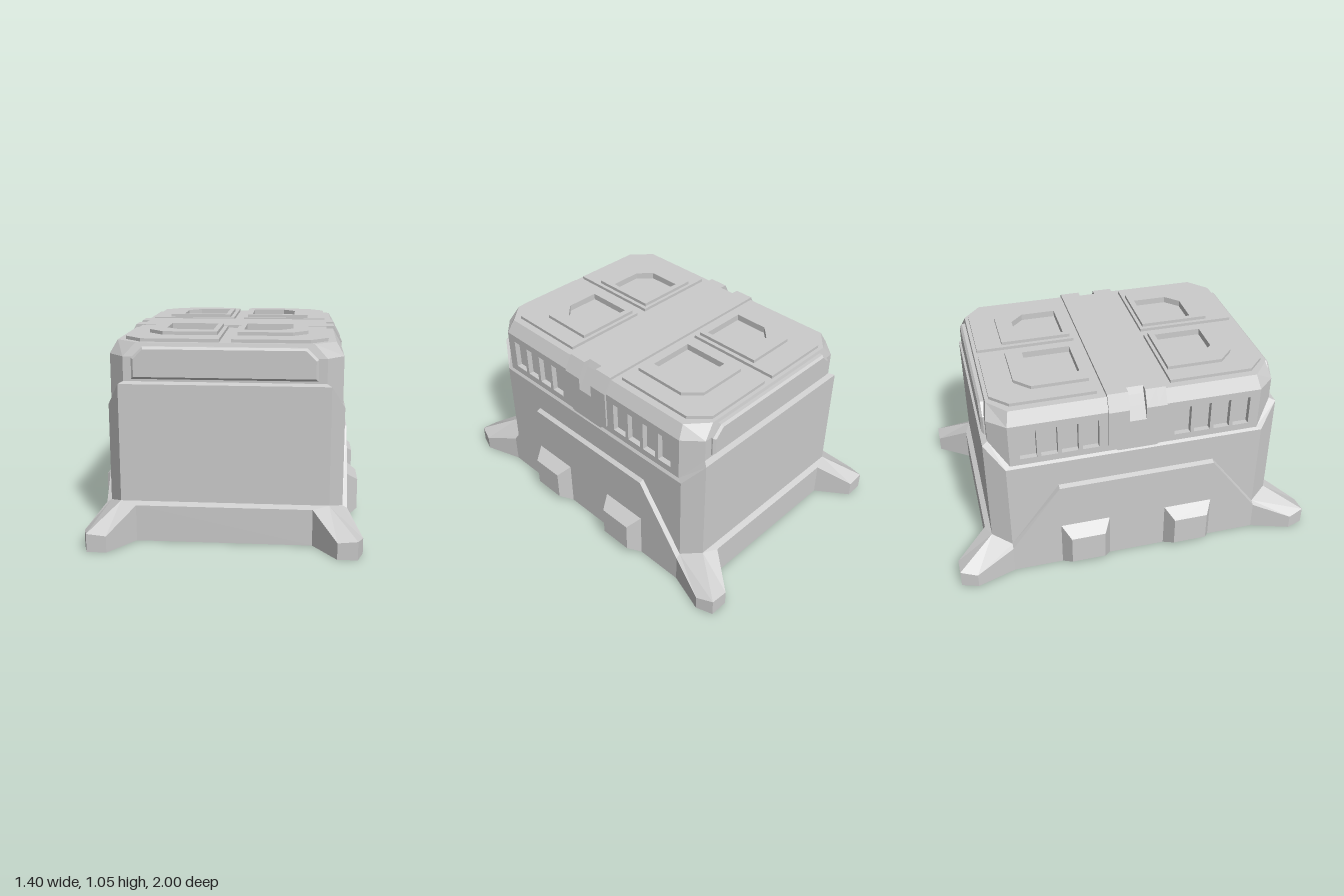
import * as THREE from 'three';

const material = new THREE.MeshStandardMaterial({ color: 0xcccccc, flatShading: true, side: THREE.DoubleSide });

function part(name, geometry, parent) {
  const mesh = new THREE.Mesh(geometry, material);
  mesh.name = name;
  parent.add(mesh);
  return mesh;
}

// Skin between successive rings of [x, y, z]; skip(level, segment) leaves openings
function loft(rings, closed = true, skip = () => false) {
  const pos = [];
  const n = rings[0].length;
  for (let l = 0; l < rings.length - 1; l++) {
    for (let i = 0; i < (closed ? n : n - 1); i++) {
      if (skip(l, i)) continue;
      const j = (i + 1) % n;
      const [a, b, c, d] = [rings[l][i], rings[l][j], rings[l + 1][j], rings[l + 1][i]];
      pos.push(...a, ...d, ...c, ...a, ...c, ...b);
    }
  }
  const g = new THREE.BufferGeometry();
  g.setAttribute('position', new THREE.Float32BufferAttribute(pos, 3));
  g.computeVertexNormals();
  return g;
}

// Repeat one quadrant's points (side to front) around all four quadrants
function mirror4(q) {
  const flip = (sx, sz) => q.map(([x, y, z]) => [x * sx, y, z * sz]);
  return [...flip(1, 1), ...flip(-1, 1).reverse(), ...flip(-1, -1), ...flip(1, -1).reverse()];
}

const shape = (pts) => new THREE.Shape(pts.map(([x, y]) => new THREE.Vector2(x, y)));

// Flat wall facing +x, drawn with [z, y] points
function sideWall(x, pts, holes = []) {
  const toShape = (p) => shape(p.map(([z, y]) => [-z, y]));
  const s = toShape(pts);
  s.holes = holes.map(toShape);
  return new THREE.ShapeGeometry(s).rotateY(Math.PI / 2).translate(x, 0, 0);
}

const rect = (z0, z1, y0, y1) => [[z0, y0], [z1, y0], [z1, y1], [z0, y1]];

// Sunken or raised block on a side wall, closed at its far end
function sideBlock(name, x0, r0, x1, r1, parent) {
  const at = (x, r) => r.map(([z, y]) => [x, y, z]);
  const group = new THREE.Group();
  group.name = name;
  part(name + 'Edges', loft([at(x0, r0), at(x1, r1)]), group);
  part(name + 'Face', sideWall(x1, r1), group);
  parent.add(group);
}

// Rectangle in x and z with the outer corner cut off
const cutRect = (x0, x1, z0, z1, c) =>
  [[x0, -z0], [x1, -z0], [x1, -z1 + c], [x1 - c, -z1], [x0, -z1]];

function topPlate(name, outline, hole, y0, y1, parent) {
  const s = shape(outline);
  s.holes.push(shape(hole));
  const g = new THREE.ExtrudeGeometry(s, { depth: y1 - y0, bevelEnabled: false });
  part(name, g.rotateX(-Math.PI / 2).translate(0, y0, 0), parent);
}

function quarter(sx, sz) {
  const g = new THREE.Group();
  g.name = 'quarter';

  // Lower side wall with an opening behind the bracket
  part('skirtSide', sideWall(0.63, [
    [0, 0], [0.158, 0], [0.158, 0.265], [0.43, 0.265], [0.43, 0],
    [0.7, 0], [0.7, 0.16], [0.43, 0.53], [0, 0.53],
  ]), g);
  sideBlock('bracket', 0.63, rect(0.158, 0.43, 0, 0.265), 0.7, rect(0.2, 0.387, 0.05, 0.217), g);

  // Lid side with four vent slots
  const slots = [0, 1, 2, 3].map((i) => rect(0.205 + i * 0.109, 0.293 + i * 0.109, 0.742, 0.91));
  part('lidSide', sideWall(0.595, rect(0.155, 0.675, 0.705, 0.95), slots), g);
  slots.forEach((r) => sideBlock('ventSlot', 0.595, r, 0.565, r, g));

  // Stepped plates on top with a sunken centre
  const well = cutRect(0.08, 0.335, 0.245, 0.505, 0.07);
  topPlate('largePlate', cutRect(0.03, 0.515, 0.195, 0.735, 0.09), well, 1.02, 1.037, g);
  topPlate('smallPlate', cutRect(0.052, 0.415, 0.213, 0.595, 0.08), well, 1.037, 1.055, g);

  g.scale.set(sx, 1, sz);
  return g;
}

export function createModel() {
  const model = new THREE.Group();
  model.name = 'crate';

  // Shell from the flared feet up to the lid top, open underneath
  const foot = [[0.63, 0.53, 0.43], [0.63, 0.16, 0.7], [0.7, 0.08, 0.91],
    [0.67, 0.095, 1], [0.57, 0.085, 1], [0.45, 0.19, 0.83]];
  const octagon = (mid, side, front) => [mid, side, side, front, front, front];
  const rings = [
    foot.map(([x, , z]) => [x, 0, z]),
    foot,
    octagon([0.605, 0.54, 0.43], [0.605, 0.175, 0.7], [0.533, 0.205, 0.8]),
    octagon([0.605, 0.69, 0.43], [0.605, 0.69, 0.7], [0.533, 0.815, 0.8]),
    octagon([0.595, 0.705, 0.155], [0.595, 0.705, 0.675], [0.51, 0.825, 0.77]),
    octagon([0.595, 0.95, 0.155], [0.595, 0.95, 0.675], [0.51, 0.95, 0.77]),
    octagon([0.555, 1.02, 0.155], [0.555, 1.02, 0.66], [0.445, 1.02, 0.755]),
  ].map(mirror4);
  const openings = (level, seg) => {
    const s = seg % 12;
    if (level === 0 || level === 4) return s === 0 || s >= 10;
    return level === 5 && s === 11;
  };
  part('shell', loft(rings, true, openings), model);

  // Lid top, notched where the strap folds over
  const lidTop = mirror4([[0.52, 0, 0.155], [0.555, 0, 0.155], [0.555, 0, 0.66], [0.445, 0, 0.755]]);
  part('lidTop', new THREE.ShapeGeometry(shape(lidTop.map(([x, , z]) => [x, -z])))
    .rotateX(-Math.PI / 2).translate(0, 1.02, 0), model);

  // Strap across the lid with a wedge groove on each shoulder
  const section = (z, pts) => [
    ...pts.map(([x, y]) => [x, y, z]),
    ...pts.map(([x, y]) => [-x, y, z]).reverse(),
  ];
  const lid = [[0.595, 0.705], [0.595, 0.74], [0.595, 0.74], [0.595, 0.88], [0.595, 0.95], [0.555, 1.02], [0.52, 1.02]];
  const strap = (b) => [[0.595, 0.705], [0.595, b], [0.605, b], [0.605, 0.88], [0.605, 0.95], [0.56, 1.035], [0.52, 1.035]];
  const groove = strap(0.705);
  groove[4] = [0.567, 0.95];
  groove[5] = [0.54, 1.0];
  const half = [[0.155, lid], [0.155, strap(0.74)], [0.105, strap(0.705)], [0.045, strap(0.705)], [0.045, groove]];
  const stations = [...half, ...half.map(([z, p]) => [-z, p]).reverse()];
  part('strap', loft(stations.map(([z, p]) => section(z, p)), false), model);

  // Raised plates on the front and back of the lid
  const plate = shape([[-0.455, 0.85], [0.455, 0.85], [0.455, 0.94], [0.405, 0.99], [-0.405, 0.99], [-0.455, 0.94]]);
  for (const turn of [0, Math.PI]) {
    const g = new THREE.ExtrudeGeometry(plate, { depth: 0.022, bevelSize: 0.012, bevelThickness: 0.012, bevelSegments: 1 });
    part(turn ? 'backPlate' : 'frontPlate', g.translate(0, 0, 0.756), model).rotation.y = turn;
  }

  for (const sx of [1, -1]) for (const sz of [1, -1]) model.add(quarter(sx, sz));
  return model;
}
